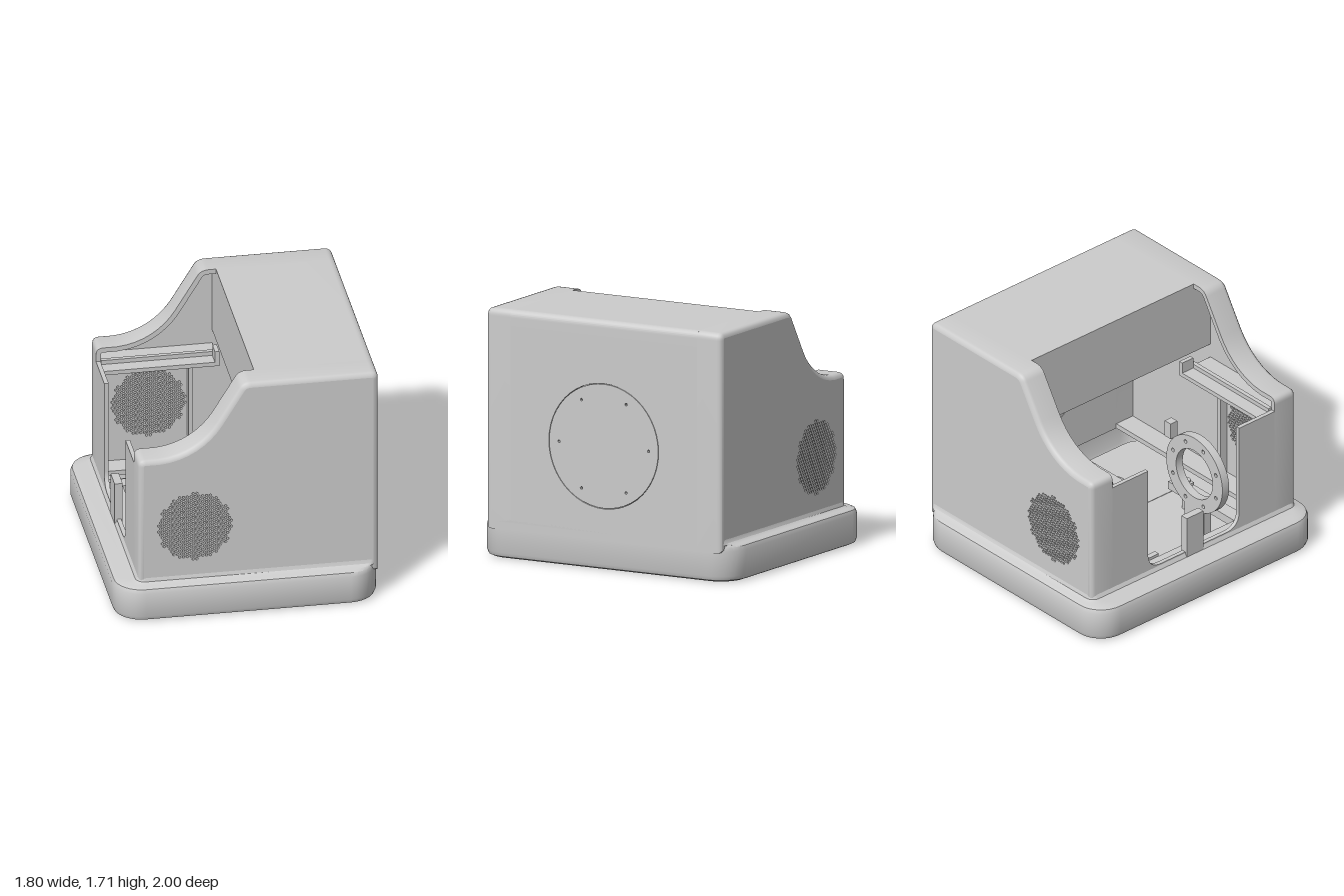
import * as THREE from 'three';
import { toCreasedNormals } from 'three/addons/utils/BufferGeometryUtils.js';

const material = new THREE.MeshStandardMaterial({ color: 0xcccccc, side: THREE.DoubleSide });

function add(parent, name, geometry) {
  const mesh = new THREE.Mesh(toCreasedNormals(geometry, 0.6), material);
  mesh.name = name;
  parent.add(mesh);
  return mesh;
}

// Box given by its limits on each axis
function box(parent, name, x0, x1, y0, y1, z0, z1) {
  const g = new THREE.BoxGeometry(x1 - x0, y1 - y0, z1 - z0);
  return add(parent, name, g.translate((x0 + x1) / 2, (y0 + y1) / 2, (z0 + z1) / 2));
}

const extrude = (shape, depth) =>
  new THREE.ExtrudeGeometry(shape, { depth, bevelEnabled: false, curveSegments: 24 });

// Skin through closed rings that have equal point counts
function loft(rings) {
  const n = rings[0].length, pos = [], index = [];
  for (const ring of rings) for (const p of ring) pos.push(...p);
  for (let r = 0; r < rings.length - 1; r++) {
    for (let i = 0; i < n; i++) {
      const a = r * n + i, b = r * n + (i + 1) % n;
      index.push(a, a + n, b, b, a + n, b + n);
    }
  }
  const g = new THREE.BufferGeometry();
  g.setAttribute('position', new THREE.Float32BufferAttribute(pos, 3));
  g.setIndex(index);
  g.computeVertexNormals();
  return g;
}

function roundedRect(x0, x1, hz, r) {
  const pts = [], steps = 8;
  [[x1 - r, hz - r], [x0 + r, hz - r], [x0 + r, r - hz], [x1 - r, r - hz]].forEach(([cx, cz], k) => {
    for (let i = 0; i <= steps; i++) {
      const a = (k + i / steps) * Math.PI / 2;
      pts.push(new THREE.Vector2(cx + r * Math.cos(a), cz + r * Math.sin(a)));
    }
  });
  return pts;
}

function rectPath(x0, x1, y0, y1) {
  return new THREE.Shape([[x0, y0], [x1, y0], [x1, y1], [x0, y1]].map(p => new THREE.Vector2(...p)));
}

function circle(x, y, r) {
  return new THREE.Shape().absarc(x, y, r, 0, Math.PI * 2);
}

// Side outline of the housing, clockwise
function sideProfile() {
  const s = new THREE.Shape();
  s.moveTo(-0.74, 0.2);
  s.lineTo(-0.74, 1.13);
  s.quadraticCurveTo(-0.74, 1.18, -0.69, 1.18);
  s.lineTo(-0.6, 1.18);
  s.bezierCurveTo(-0.42, 1.19, -0.28, 1.29, -0.2, 1.42);
  s.lineTo(-0.05, 1.665);
  s.quadraticCurveTo(-0.025, 1.71, 0.03, 1.71);
  s.lineTo(0.85, 1.71);
  s.quadraticCurveTo(0.9, 1.71, 0.9, 1.66);
  s.lineTo(0.9, 0.2);
  return s.getPoints(8);
}

function inset(pts, d) {
  const n = pts.length;
  const normal = (a, b) => new THREE.Vector2(b.y - a.y, a.x - b.x).normalize();
  return pts.map((p, i) => {
    const n1 = normal(pts[(i + n - 1) % n], p), n2 = normal(p, pts[(i + 1) % n]);
    const m = n1.clone().add(n2);
    return p.clone().addScaledVector(m, d / (1 + n1.dot(n2)));
  });
}

// Honeycomb of small holes inside a circle
function grilleHoles(cx, cy, radius) {
  const holes = [], dx = 0.0262, dy = 0.0227;
  for (let j = -11; j <= 11; j++) {
    for (let i = -10; i <= 10; i++) {
      const x = (i + (j % 2 ? 0.5 : 0)) * dx, y = j * dy;
      if (Math.hypot(x, y) > radius) continue;
      const hole = [];
      for (let k = 0; k < 6; k++) {
        const a = (k + 0.5) * Math.PI / 3;
        hole.push(new THREE.Vector2(cx + x + 0.0095 * Math.cos(a), cy + y + 0.0095 * Math.sin(a)));
      }
      holes.push(new THREE.Path(hole));
    }
  }
  return holes;
}

// Flat panel whose shape lies in z and y, growing towards +x from x
const sidePanel = (shape, x, depth) => extrude(shape, depth).rotateY(Math.PI / 2).translate(x, 0, 0);
// Flat plate whose shape lies in x and z, growing upwards from y
const floorPlate = (shape, y, depth) => extrude(shape, depth).rotateX(-Math.PI / 2).translate(0, y, 0);

function buildBase(parent) {
  const g = new THREE.Group();
  g.name = 'base';
  parent.add(g);
  // x0, x1, half depth, corner radius, height
  const rows = [
    [-0.86, 0.86, 0.96, 0.16, 0], [-0.888, 0.888, 0.988, 0.188, 0.012], [-0.9, 0.9, 1, 0.2, 0.04],
    [-0.9, 0.9, 1, 0.2, 0.21], [-0.888, 0.9, 0.988, 0.188, 0.238], [-0.86, 0.9, 0.965, 0.165, 0.25],
    [-0.79, 0.9, 0.945, 0.1, 0.253], [-0.755, 0.9, 0.928, 0.065, 0.265], [-0.74, 0.9, 0.92, 0.05, 0.29],
  ];
  add(g, 'baseRim', loft(rows.map(([x0, x1, hz, r, y]) =>
    roundedRect(x0, x1, hz, r).map(p => [p.x, y, p.y]))));
  // Bottom with an oblong cable slot and a hatch
  const bottom = new THREE.Shape(roundedRect(-0.86, 0.86, 0.96, 0.16));
  bottom.holes.push(new THREE.Path(roundedRect(0.33, 0.7, 0.5, 0.18)), rectPath(-0.7, 0.2, -0.78, 0.78));
  add(g, 'bottomPlate', floorPlate(bottom, 0, 0.05));
  add(g, 'bottomHatch', floorPlate(rectPath(-0.696, 0.196, -0.776, 0.776), 0, 0.05));
}

function buildHousing(parent) {
  const g = new THREE.Group();
  g.name = 'housing';
  parent.add(g);
  const outline = sideProfile(), t = 0.035;
  for (const s of [1, -1]) {
    // Rounded rim around each side wall, turned back inwards for its thickness
    const rings = [[t, 0.92], [0.018, 0.916], [0.005, 0.903], [0, 0.885], [0, 0.73], [t, 0.73], [t, 0.88]];
    add(g, 'sideRim', loft(rings.map(([d, z]) => inset(outline, d).map(p => [p.x, p.y, z * s]))));
    const wall = new THREE.Shape(inset(outline, t));
    wall.holes.push(...grilleHoles(-0.355, 0.655, 0.252));
    add(g, 'grilleWall', extrude(wall, 0.04).translate(0, 0, s * 0.9 - 0.02));
  }

  // Top slab with its rounded edge
  const top = new THREE.Shape();
  top.moveTo(0.08, 1.71);
  top.lineTo(0.85, 1.71);
  top.quadraticCurveTo(0.9, 1.71, 0.9, 1.66);
  top.lineTo(0.9, 1.6);
  top.lineTo(0.865, 1.6);
  top.lineTo(0.865, 1.675);
  top.lineTo(0.08, 1.675);
  add(g, 'topSlab', extrude(top, 1.46).translate(0, 0, -0.73));
  box(g, 'screenPanel', 0.08, 0.11, 1.17, 1.7, -0.88, 0.88);

  // Tall panel with a flush round cover
  const back = rectPath(-0.73, 0.73, 0.2, 1.6);
  back.holes.push(circle(0, 0.85, 0.43));
  add(g, 'tallPanel', sidePanel(back, 0.865, 0.035));
  const cover = circle(0, 0.85, 0.426);
  for (let i = 0; i < 6; i++) {
    const a = i * Math.PI / 3;
    cover.holes.push(circle(0.35 * Math.cos(a), 0.85 + 0.35 * Math.sin(a), 0.009));
  }
  add(g, 'roundCover', sidePanel(cover, 0.865, 0.035));

  // Low panel with a deep U-shaped opening
  const low = new THREE.Shape();
  low.moveTo(-0.73, 0.2);
  low.lineTo(0.73, 0.2);
  low.lineTo(0.73, 1.08);
  low.lineTo(0.41, 1.08);
  low.lineTo(0.41, 0.42);
  low.quadraticCurveTo(0.41, 0.3, 0.29, 0.3);
  low.lineTo(-0.29, 0.3);
  low.quadraticCurveTo(-0.41, 0.3, -0.41, 0.42);
  low.lineTo(-0.41, 1.08);
  low.lineTo(-0.73, 1.08);
  add(g, 'openPanel', sidePanel(low, -0.74, 0.03));
  box(g, 'openingPost', -0.755, -0.7, 0.25, 0.57, -0.075, 0.075);
}

function buildInterior(parent) {
  const g = new THREE.Group();
  g.name = 'interior';
  parent.add(g);
  const span = (name, x0, x1, y0, y1, z0, z1) => {
    for (const s of [1, -1]) box(g, name, x0, x1, y0, y1, Math.min(s * z0, s * z1), Math.max(s * z0, s * z1));
  };
  span('upperRail', -0.71, 0.08, 1.04, 1.07, 0.6, 0.88);
  span('railLip', -0.71, 0.08, 1.07, 1.1, 0.7, 0.73);
  span('railTab', 0.05, 0.08, 1.04, 1.15, 0.6, 0.7);
  span('wallRib', -0.09, -0.06, 0.2, 1.04, 0.82, 0.88);
  span('lowerRail', -0.6, 0.08, 0.18, 0.24, 0.5, 0.6);
  span('railBlock', -0.07, 0.03, 0.24, 0.26, 0.5, 0.6);
  box(g, 'crossBar', -0.71, -0.6, 0.18, 0.25, -0.6, 0.6);
  box(g, 'clip', -0.6, -0.56, 0.18, 0.27, -0.33, -0.19);
  for (const s of [1, -1]) {
    for (const x of [-0.67, -0.02]) {
      add(g, 'screwBoss', new THREE.CylinderGeometry(0.03, 0.03, 0.22, 16).translate(x, 0.16, s * 0.575));
    }
  }

  // Upright ring mount with bolt holes
  const ring = circle(-0.37, 0.575, 0.285);
  ring.holes.push(circle(-0.37, 0.575, 0.185));
  for (let i = 0; i < 8; i++) {
    const a = (i + 0.5) * Math.PI / 4;
    ring.holes.push(circle(-0.37 + 0.235 * Math.cos(a), 0.575 + 0.235 * Math.sin(a), 0.014));
  }
  add(g, 'ringMount', extrude(ring, 0.06).translate(0, 0, 0.335));
  box(g, 'ringTab', -0.13, -0.07, 0.74, 0.86, 0.335, 0.395);
  box(g, 'ringFoot', -0.47, -0.27, 0.05, 0.33, 0.335, 0.395);
}

export function createModel() {
  const model = new THREE.Group();
  model.name = 'speakerHousing';
  buildBase(model);
  buildHousing(model);
  buildInterior(model);
  return model;
}
